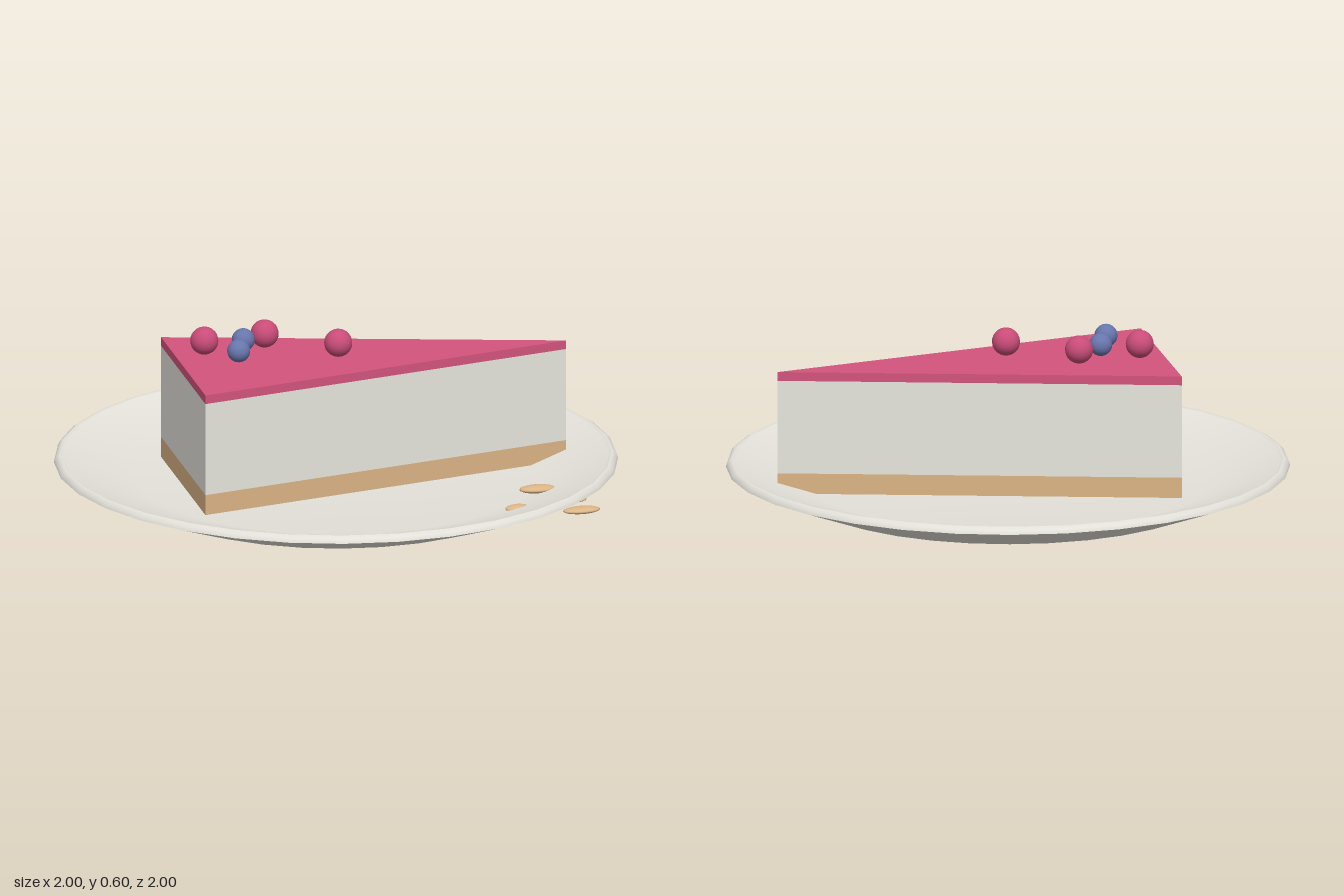
import * as THREE from 'three';

const mat = (name, color, side = THREE.FrontSide) => {
  const m = new THREE.MeshStandardMaterial({ color, side });
  m.name = name;
  return m;
};

export function createModel() {
  const group = new THREE.Group();
  const china = mat('china', 0xe4e2da, THREE.DoubleSide);
  const cream = mat('cream', 0xf2f0e8);
  const glazePink = mat('glaze pink', 0xd3547d);
  const berryRed = mat('berry red', 0xc94c78);
  const berryBlue = mat('berry blue', 0x6876ad);
  const biscuit = mat('biscuit', 0xdcb586);

  const add = (name, geometry, material, parent = group) => {
    const mesh = new THREE.Mesh(geometry, material);
    mesh.name = name;
    parent.add(mesh);
    return mesh;
  };

  // Plate: one lathed band per surface, so the edges between them stay sharp
  const plate = new THREE.Group();
  plate.name = 'plate';
  group.add(plate);
  const bands = {
    plateFoot: [[0, 0], [0.72, 0]],
    plateUnderside: [[0.72, 0], [1, 0.105]],
    plateRim: [[1, 0.105], [0.995, 0.12], [0.98, 0.13], [0.97, 0.125]],
    plateWell: [[0.97, 0.125], [0.7, 0.045], [0, 0.045]],
  };
  for (const [name, points] of Object.entries(bands)) {
    const profile = points.map(([r, y]) => new THREE.Vector2(r, y));
    add(name, new THREE.LatheGeometry(profile, 32), china, plate);
  }

  // Cake slice: the same wedge stacked in three layers
  const wedge = new THREE.Shape([
    new THREE.Vector2(-0.555, -0.355),
    new THREE.Vector2(0.835, 0),
    new THREE.Vector2(-0.555, 0.355),
  ]);
  const layer = (name, bottom, top, material) => {
    const geometry = new THREE.ExtrudeGeometry(wedge, { depth: top - bottom, bevelEnabled: false });
    geometry.rotateX(-Math.PI / 2);
    add(name, geometry, material).position.y = bottom;
  };
  layer('crust', 0.046, 0.12, biscuit);
  layer('filling', 0.12, 0.458, cream);
  layer('glaze', 0.458, 0.49, glazePink);

  // Berries on top: x, z
  const berries = (name, radius, material, spots) => {
    for (const [x, z] of spots) {
      add(name, new THREE.SphereGeometry(radius, 20, 14), material).position.set(x, 0.55, z);
    }
  };
  berries('raspberry', 0.05, berryRed, [[-0.457, -0.095], [-0.23, -0.13], [0, 0.035]]);
  berries('blueberry', 0.041, berryBlue, [[-0.32, -0.075], [-0.365, 0.05]]);

  // Flat crumbs: x, z, half length, half height, half width, turn
  const crumbs = [
    [0.64, 0.4, 0.065, 0.014, 0.034, 0],
    [0.52, 0.605, 0.045, 0.012, 0.026, 0.25],
    [0.738, 0.68, 0.068, 0.012, 0.033, 0.05],
    [0.74, 0.55, 0.045, 0.009, 0.03, 0],
  ];
  for (const [x, z, length, height, width, turn] of crumbs) {
    const crumb = add('crumb', new THREE.SphereGeometry(1, 16, 10), biscuit);
    crumb.scale.set(length, height, width);
    crumb.rotation.y = turn;
    crumb.position.set(x, 0.075, z);
  }

  return group;
}
